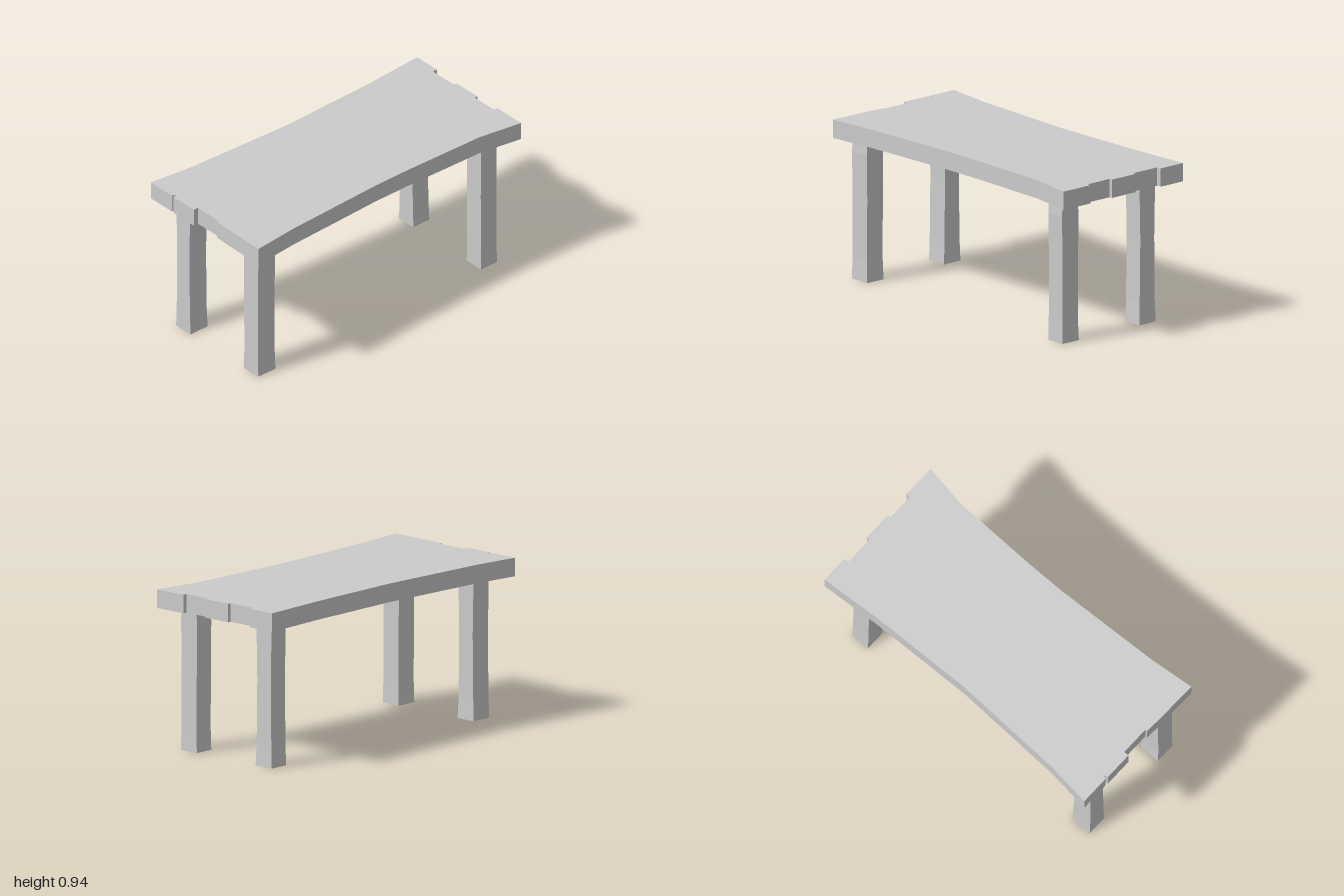
import * as THREE from 'three';

const material = new THREE.MeshStandardMaterial({ color: 0xcccccc, flatShading: true, side: THREE.DoubleSide });

const LEG_HEIGHT = 0.83;
const TOP_THICKNESS = 0.108;

// Worn slab outline in x, z: back edge, right side, front edge, left side
const outline = [
  [-0.44, -1], [-0.27, -1], [-0.27, -0.97], [-0.09, -0.97], [-0.09, -0.99],
  [0.09, -0.99], [0.09, -0.97], [0.255, -0.97], [0.255, -0.995], [0.46, -0.995],
  [0.415, -0.72], [0.402, -0.2], [0.402, 0.05], [0.43, 0.7], [0.457, 0.985],
  [0.2, 0.98], [0.09, 0.975], [0.09, 0.962], [-0.09, 0.962], [-0.09, 0.993],
  [-0.265, 0.993], [-0.273, 0.965], [-0.283, 0.99], [-0.463, 0.99],
  [-0.43, 0.71], [-0.4, 0.02], [-0.415, -0.6],
];

function tableTop() {
  const shape = new THREE.Shape(outline.map(([x, z]) => new THREE.Vector2(x, -z)));
  const geometry = new THREE.ExtrudeGeometry(shape, { depth: TOP_THICKNESS, bevelEnabled: false });
  geometry.rotateX(-Math.PI / 2).translate(0, LEG_HEIGHT, 0);
  const mesh = new THREE.Mesh(geometry, material);
  mesh.name = 'tableTop';
  return mesh;
}

// Height and x limits of each leg section, bottom to top
const leftSections = [[0, 0.25, 0.375], [0.13, 0.255, 0.372], [0.5, 0.253, 0.371], [0.75, 0.25, 0.375], [LEG_HEIGHT, 0.257, 0.37]];
const rightSections = [[0, -0.332, -0.208], [0.13, -0.327, -0.213], [0.5, -0.323, -0.218], [0.75, -0.328, -0.213], [LEG_HEIGHT, -0.327, -0.213]];

// Hollow square post, open at the foot, with slightly uneven sides
function leg(name, sections, zMin, zMax) {
  const steps = sections.length - 1;
  const geometry = new THREE.CylinderGeometry(Math.SQRT1_2, Math.SQRT1_2, 1, 4, steps, true, Math.PI / 4);
  const p = geometry.attributes.position;
  for (let i = 0; i < p.count; i++) {
    const [y, x0, x1] = sections[Math.round((p.getY(i) + 0.5) * steps)];
    const flare = y === 0 ? 0.003 : 0;
    p.setXYZ(i, p.getX(i) < 0 ? x0 : x1, y, p.getZ(i) < 0 ? zMin - flare : zMax);
  }
  geometry.computeVertexNormals();
  const mesh = new THREE.Mesh(geometry, material);
  mesh.name = name;
  return mesh;
}

export function createModel() {
  const group = new THREE.Group();
  group.name = 'table';
  group.add(tableTop());
  for (const [side, sections] of [['Left', leftSections], ['Right', rightSections]]) {
    group.add(leg(`front${side}Leg`, sections, 0.788, 0.914));
    group.add(leg(`back${side}Leg`, sections, -0.885, -0.768));
  }
  return group;
}
